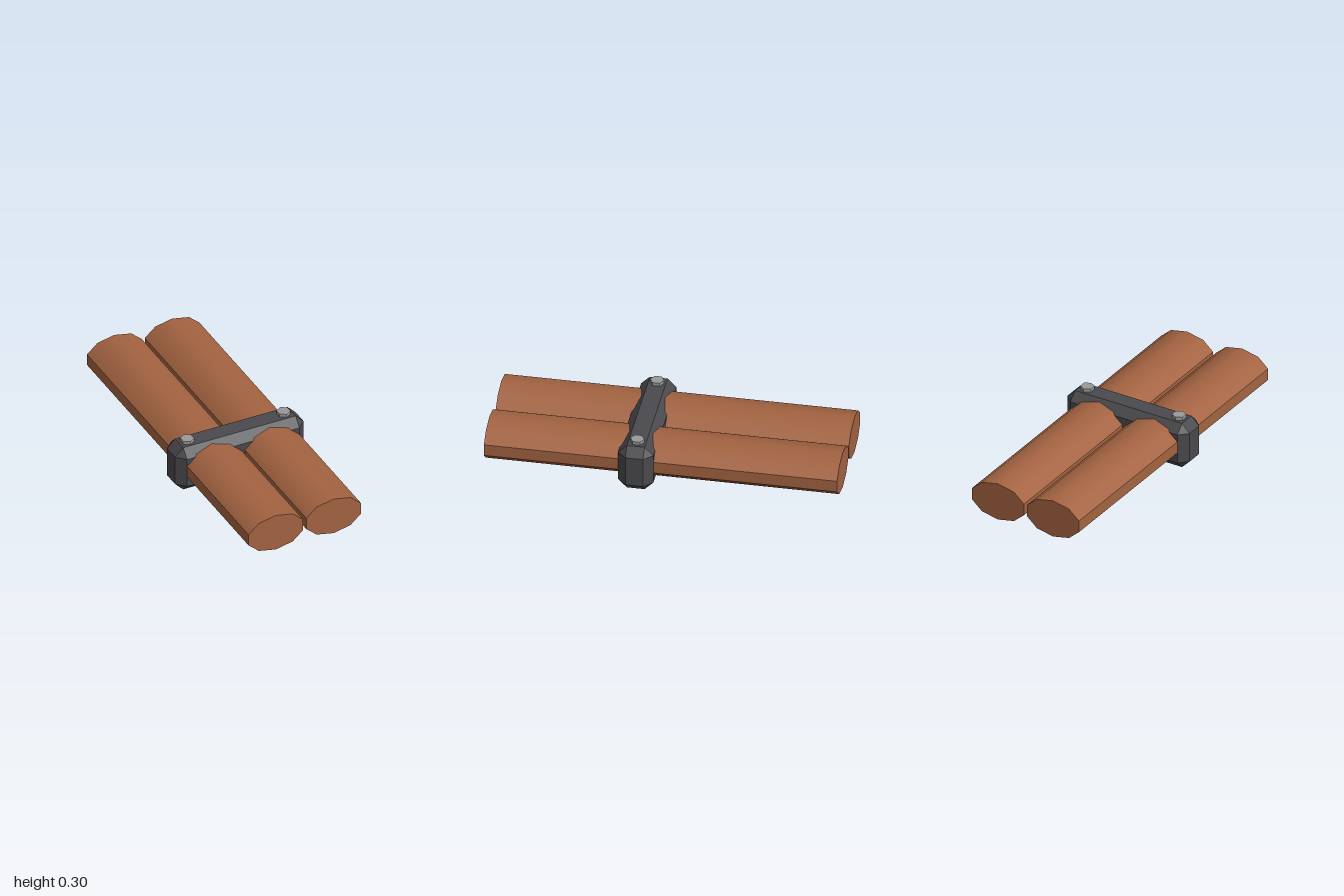
import * as THREE from 'three';
import { toCreasedNormals } from 'three/addons/utils/BufferGeometryUtils.js';
import { ConvexGeometry } from 'three/addons/geometries/ConvexGeometry.js';

// Box centred on the origin with every edge and corner cut at 45 degrees
function chamferedBox(width, height, depth, cut) {
  const x = width / 2, y = height / 2, z = depth / 2;
  const points = [];
  for (const sx of [-1, 1]) for (const sy of [-1, 1]) for (const sz of [-1, 1]) {
    points.push(
      new THREE.Vector3(sx * x, sy * (y - cut), sz * (z - cut)),
      new THREE.Vector3(sx * (x - cut), sy * y, sz * (z - cut)),
      new THREE.Vector3(sx * (x - cut), sy * (y - cut), sz * z));
  }
  return new ConvexGeometry(points);
}

export function createModel() {
  const model = new THREE.Group();
  model.name = 'clampedPoles';

  const wood = new THREE.MeshStandardMaterial({ color: 0xa36341 });
  wood.name = 'reddish wood';
  const iron = new THREE.MeshStandardMaterial({ color: 0x4a4a4e });
  iron.name = 'dark iron';
  const steel = new THREE.MeshStandardMaterial({ color: 0x9a9a9a });
  steel.name = 'light steel';

  function add(name, geometry, material, x, y, z) {
    const mesh = new THREE.Mesh(geometry, material);
    mesh.name = name;
    mesh.position.set(x, y, z);
    model.add(mesh);
  }

  // Flattened ten-sided poles, with a crease along the upright side faces
  const rod = new THREE.CylinderGeometry(1, 1, 2, 10);
  rod.rotateX(Math.PI / 2);
  rod.scale(0.179, 0.1145, 1);
  const pole = toCreasedNormals(rod, 0.6);

  // Hexagonal bolt heads, sunk slightly into the clamp
  const bolt = toCreasedNormals(new THREE.CylinderGeometry(0.04, 0.04, 0.04, 6), 0.5);

  // Clamp around both poles
  add('clamp', chamferedBox(0.8, 0.28, 0.2, 0.05), iron, 0, 0.14, 0.14);

  for (const [side, s] of [['left', 1], ['right', -1]]) {
    add(side + 'Pole', pole, wood, s * 0.18, 0.15, 0);
    add(side + 'Bolt', bolt, steel, s * 0.3, 0.28, 0.14);
  }
  return model;
}
